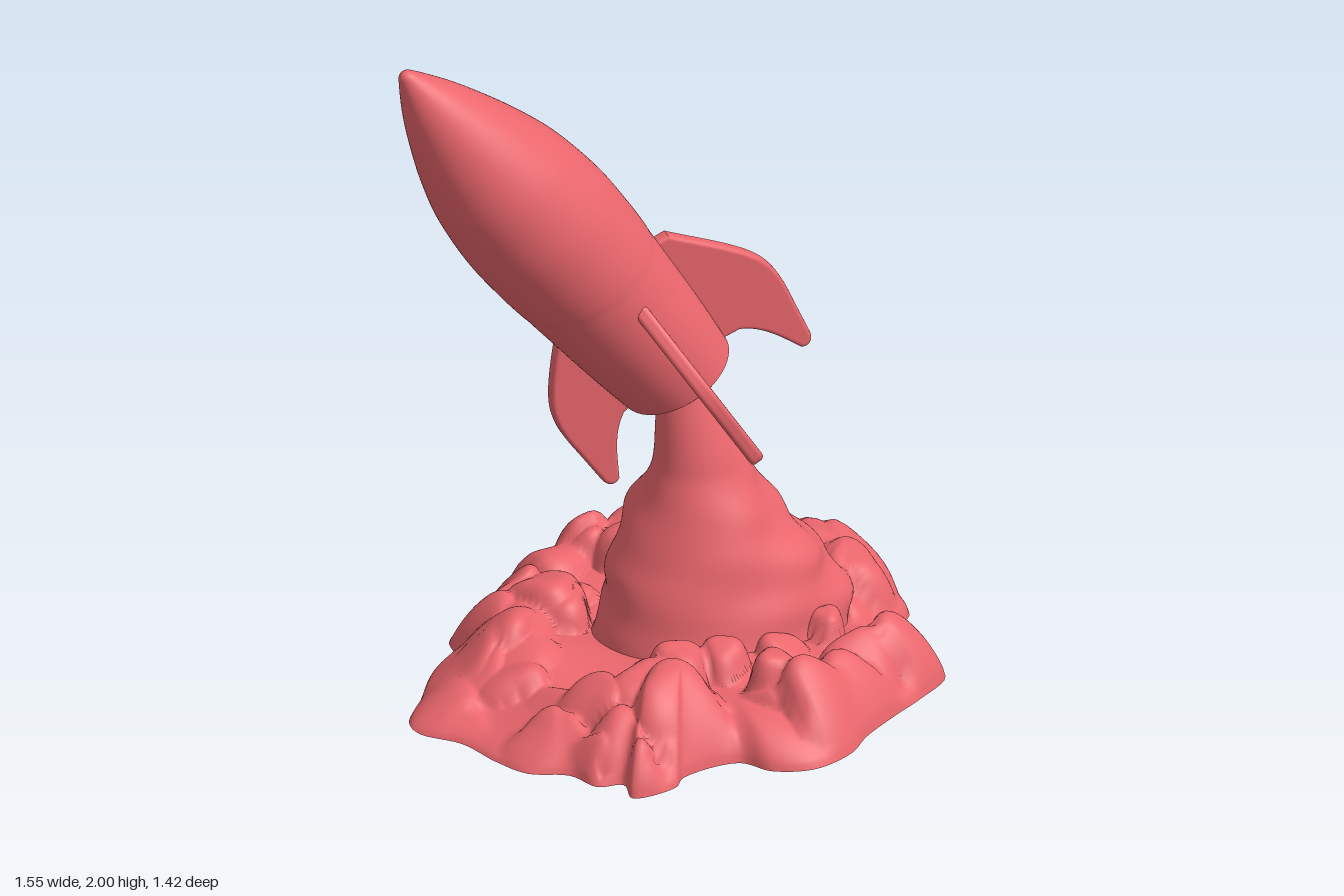
import * as THREE from 'three';

const material = new THREE.MeshStandardMaterial({ color: 0xea666c, side: THREE.DoubleSide });

// Poses from rocket space (radius, height above tail, z); the hull leans a little more than its tail.
const pose = (across, along, x, y) => new THREE.Matrix4().makeBasis(
  new THREE.Vector3(...across, 0), new THREE.Vector3(...along, 0), new THREE.Vector3(0, 0, 1)
).setPosition(x, y, -0.042);
const hullPose = pose([0.875, 0.485], [-0.5925, 0.8056], 0.051, 0.887);
const edgeFinPose = pose([0.866, 0.5], [-0.5, 0.866], 0.07, 0.885);
const sideFinPose = pose([0.84, 0.545], [-0.545, 0.84], 0.075, 0.9);

function addMesh(parent, name, geometry) {
  const mesh = new THREE.Mesh(geometry, material);
  mesh.name = name;
  parent.add(mesh);
}

// Skin over closed rings of points, ordered from the inside or top outwards.
function loft(rings) {
  const n = rings[0].length;
  const index = [];
  for (let j = 0; j < rings.length - 1; j++) {
    for (let i = 0; i < n; i++) {
      const a = j * n + i, b = j * n + (i + 1) % n;
      index.push(a, a + n, b + n, a, b + n, b);
    }
  }
  const geometry = new THREE.BufferGeometry().setFromPoints(rings.flat());
  geometry.setIndex(index);
  geometry.computeVertexNormals();
  return geometry;
}

function seededRandom(seed) {
  return () => {
    seed = (seed * 16807) % 2147483647;
    return seed / 2147483647;
  };
}

const points2 = (list) => list.map(([x, y]) => new THREE.Vector2(x, y));

function makeRocket() {
  const rocket = new THREE.Group();
  rocket.name = 'rocket';
  const lathe = (name, points) =>
    addMesh(rocket, name, new THREE.LatheGeometry(points, 72).applyMatrix4(hullPose));

  // Hull: tapered tail, a soft step, then a fuller pointed nose
  const profile = new THREE.SplineCurve(points2([
    [0.165, 0], [0.177, 0.1], [0.189, 0.22], [0.199, 0.34], [0.205, 0.41], [0.208, 0.45], [0.213, 0.49],
    [0.219, 0.58], [0.221, 0.72], [0.204, 0.88], [0.175, 1.0], [0.135, 1.12], [0.085, 1.245],
    [0.03, 1.355], [0.014, 1.378], [0, 1.384]
  ]));
  lathe('hull', profile.getPoints(110));

  // Tail rim with a recess and a small nozzle
  lathe('tailRim', points2([[0.13, 0.07], [0.135, 0.005], [0.145, -0.006], [0.158, -0.006], [0.165, 0]]));
  lathe('tailPlate', points2([[0, 0.05], [0.135, 0.05]]));
  lathe('nozzle', points2([
    [0.055, 0.05], [0.065, -0.02], [0.072, -0.035], [0.09, -0.035], [0.097, -0.025], [0.09, 0], [0.075, 0.05]
  ]));

  // Four swept fins with a straight leading edge, rounded shoulder and long tip
  const outline = new THREE.Shape();
  outline.moveTo(0.13, 0.41);
  outline.lineTo(0.175, 0.405);
  outline.bezierCurveTo(0.23, 0.33, 0.3, 0.25, 0.336, 0.18);
  outline.bezierCurveTo(0.368, 0.12, 0.366, 0.06, 0.356, -0.02);
  outline.lineTo(0.344, -0.145);
  outline.quadraticCurveTo(0.336, -0.178, 0.31, -0.165);
  outline.bezierCurveTo(0.28, -0.1, 0.255, -0.03, 0.195, 0.01);
  outline.lineTo(0.13, 0.02);
  for (let k = 0; k < 4; k++) {
    const fin = new THREE.ExtrudeGeometry(outline, {
      depth: 0.016, curveSegments: 14, bevelThickness: 0.013, bevelSize: 0.012, bevelOffset: -0.007, bevelSegments: 4
    });
    fin.translate(0, 0, -0.008).rotateY(k * Math.PI / 2 - 0.07);
    addMesh(rocket, 'fin' + (k + 1), fin.applyMatrix4(k % 2 ? sideFinPose : edgeFinPose));
  }
  return rocket;
}

// Exhaust column: widening cross-sections with bumps growing towards the ground
function makePlume() {
  // centre x, height, centre z, radius x, radius z
  const sections = [
    [0.06, 0.93, -0.03, 0.05, 0.05], [0.075, 0.8, -0.025, 0.08, 0.07], [0.115, 0.6, -0.025, 0.132, 0.115],
    [0.135, 0.45, -0.045, 0.21, 0.195], [0.165, 0.3, -0.035, 0.3, 0.235], [0.18, 0.18, -0.03, 0.34, 0.265],
    [0.185, 0, -0.03, 0.4, 0.31]
  ];
  const centres = new THREE.CatmullRomCurve3(sections.map((s) => new THREE.Vector3(s[0], s[1], s[2])));
  const radii = new THREE.CatmullRomCurve3(sections.map((s) => new THREE.Vector3(s[3], 0, s[4])));
  const rings = [];
  for (let j = 0; j <= 80; j++) {
    const c = centres.getPoint(j / 80), r = radii.getPoint(j / 80);
    const ring = [];
    for (let i = 0; i < 96; i++) {
      const a = i / 96 * Math.PI * 2;
      const rough = THREE.MathUtils.smoothstep(0.75 - c.y, 0, 0.3) * (0.045 + 0.035 * Math.cos(a - 0.8));
      const wave = Math.sin(3 * a + 14 * c.y) * 0.5 + Math.sin(5 * a - 25 * c.y + 1) * 0.5 +
        Math.sin(2 * a + 42 * c.y + 2) * 0.45;
      const k = 1 + rough * wave;
      ring.push(new THREE.Vector3(c.x + Math.cos(a) * r.x * k, c.y, c.z - Math.sin(a) * r.z * k));
    }
    rings.push(ring);
  }
  return loft(rings);
}

// Cloud base: blocky rounded lumps over an irregular footprint
function makeCloud(group) {
  const outline = [
    [0.775, -0.2], [0.75, -0.35], [0.71, -0.48], [0.66, -0.57], [0.6, -0.635], [0.5, -0.6], [0.44, -0.615],
    [0.35, -0.61], [0.31, -0.64], [0.24, -0.62], [0.19, -0.69], [0.1, -0.715], [-0.04, -0.67], [-0.1, -0.6],
    [-0.24, -0.56], [-0.33, -0.47], [-0.38, -0.41], [-0.47, -0.38], [-0.5, -0.27], [-0.58, -0.24],
    [-0.69, -0.1], [-0.77, 0.0], [-0.77, 0.07], [-0.69, 0.17], [-0.65, 0.3], [-0.6, 0.4], [-0.5, 0.46],
    [-0.46, 0.55], [-0.39, 0.57], [-0.4, 0.65], [-0.27, 0.645], [-0.22, 0.6], [-0.05, 0.59], [0.01, 0.67],
    [0.12, 0.71], [0.25, 0.67], [0.33, 0.6], [0.46, 0.52], [0.55, 0.47], [0.67, 0.38], [0.65, 0.27],
    [0.65, 0.1], [0.73, 0.02], [0.75, -0.08]
  ];
  const curve = new THREE.CatmullRomCurve3(outline.map(([x, z]) => new THREE.Vector3(x, 0, z)), true);
  const rim = curve.getPoints(264).slice(0, 264);
  const centre = new THREE.Vector3(0.05, 0, 0);

  // Each lump is a tilted slab with rounded sides
  const random = seededRandom(77);
  const lumps = [];
  for (let k = 0; k < 110; k++) {
    const t = 0.3 + 0.64 * Math.sqrt(random());
    const p = centre.clone().lerp(rim[Math.floor(random() * 264)], t);
    lumps.push({
      x: p.x, z: p.z, r: 0.06 + 0.09 * random(), h: 0.11 + 0.12 * random(),
      tiltX: 0.8 * (random() - 0.5), tiltZ: 0.8 * (random() - 0.5)
    });
  }

  const heightAt = (x, z, t) => {
    let h = 0.11 + 0.015 * Math.sin(9 * x + 4 * z) + 0.012 * Math.sin(13 * z - 6 * x);
    for (const l of lumps) {
      const dx = x - l.x, dz = z - l.z;
      const angle = Math.atan2(dz, dx);
      const r = l.r * (1 + 0.12 * Math.sin(3 * angle + 40 * l.x));
      const d = (dx * dx + dz * dz) / (r * r);
      if (d < 1) h = Math.max(h, (l.h + l.tiltX * dx + l.tiltZ * dz) * Math.pow(1 - d * d, 0.4));
    }
    const u = Math.max(0, (t - 0.66) / 0.34);
    const low = 0.45 + 0.55 * THREE.MathUtils.smoothstep(x, -0.62, -0.35);
    return h * low * Math.pow(Math.max(0, 1 - Math.pow(u, 1.8)), 0.65);
  };

  const rings = [];
  for (let j = 0; j <= 90; j++) {
    const t = Math.pow(j / 90, 0.8);
    rings.push(rim.map((p) => {
      const q = centre.clone().lerp(p, t);
      q.y = j === 90 ? 0 : heightAt(q.x, q.z, t);
      return q;
    }));
  }
  addMesh(group, 'cloudBase', loft(rings));

  // Flat underside
  const floor = new THREE.Shape(rim.map((p) => new THREE.Vector2(p.x, p.z)));
  addMesh(group, 'underside', new THREE.ShapeGeometry(floor).rotateX(Math.PI / 2));
}

export function createModel() {
  const model = new THREE.Group();
  model.name = 'rocketLaunch';
  model.add(makeRocket());
  addMesh(model, 'exhaustPlume', makePlume());
  makeCloud(model);
  return model;
}
